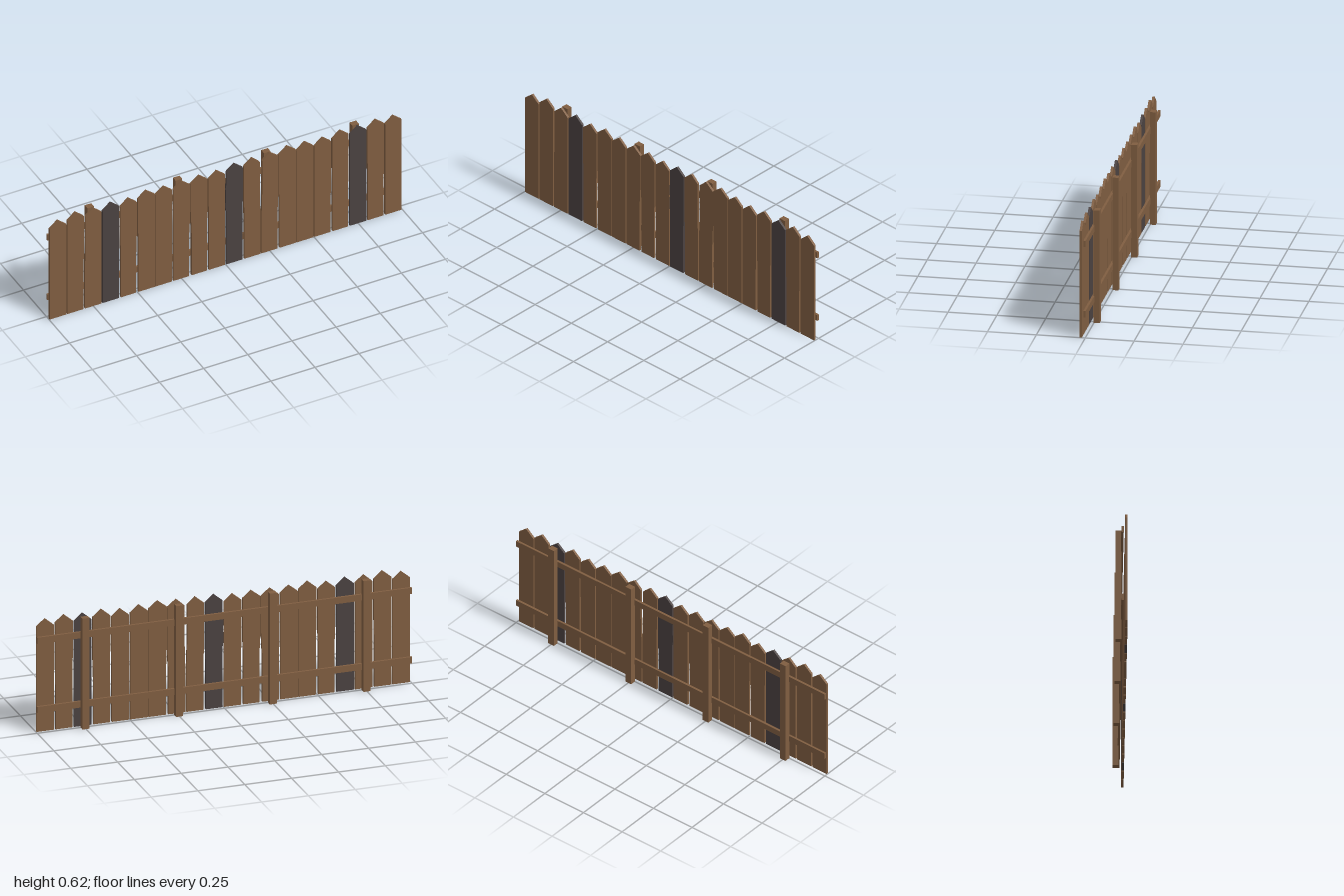
import * as THREE from 'three';

const wood = new THREE.MeshStandardMaterial({ color: 0x805e41 });
wood.name = 'brown wood';
const darkWood = new THREE.MeshStandardMaterial({ color: 0x4b4241 });
darkWood.name = 'dark weathered wood';

const PITCH = 0.1;
const DARK = [3, 10, 17];
// peak height, then how far the left and right edges are worn in near the bottom and the shoulder
const PLANKS = [
  [0.605, 0, 0, 0, 0], [0.622, 0, 0.002, 0, 0], [0.614, 0, 0, 0.002, 0], [0.614, 0, 0.001, 0, 0],
  [0.606, 0.003, 0.004, 0, 0], [0.62, 0.003, -0.002, 0, -0.002], [0.612, -0.002, 0.002, -0.002, 0],
  [0.61, 0, 0.005, 0, -0.002], [0.611, 0.004, 0.004, -0.002, 0], [0.606, 0.002, 0, 0, 0],
  [0.616, 0, 0.003, 0, 0], [0.617, 0.002, 0, 0, 0.004], [0.617, 0, 0.003, 0.004, -0.003],
  [0.622, 0.002, -0.002, -0.003, -0.002], [0.614, -0.002, 0, -0.002, 0], [0.607, 0, 0.002, 0, 0],
  [0.617, 0.002, 0.004, 0, 0], [0.61, 0, 0, 0, 0], [0.615, 0.002, 0.002, 0, 0], [0.606, 0, 0, 0, 0],
];

// A pointed picket with slightly worn sides
function plankGeometry([peak, lowL, lowR, highL, highR], chipped) {
  const h = 0.0465, shoulder = peak - 0.039;
  const points = [
    [-h + lowL, 0], [h - lowR, 0], [h - lowR, 0.24],
    [h - highR, 0.38], [h - highR, shoulder], [0, peak], [-h + highL, shoulder],
  ];
  // splintered edge
  if (chipped) points.push([-h, 0.5], [-h - 0.004, 0.48], [-h - 0.002, 0.42], [-h - 0.005, 0.36], [-h, 0.33]);
  else points.push([-h + highL, 0.4]);
  points.push([-h + lowL, 0.26]);
  const shape = new THREE.Shape(points.map(([x, y]) => new THREE.Vector2(x, y)));
  return new THREE.ExtrudeGeometry(shape, { depth: 0.012, bevelEnabled: false });
}

function addBox(parent, name, size, position) {
  const mesh = new THREE.Mesh(new THREE.BoxGeometry(...size), wood);
  mesh.name = name;
  mesh.position.set(...position);
  parent.add(mesh);
}

export function createModel() {
  const fence = new THREE.Group();
  fence.name = 'picketFence';

  // Front boards
  const boards = new THREE.Group();
  boards.name = 'boards';
  PLANKS.forEach((spec, i) => {
    const board = new THREE.Mesh(plankGeometry(spec, i === 10), DARK.includes(i) ? darkWood : wood);
    board.name = 'board' + (i + 1);
    board.position.set(-0.95 + i * PITCH, 0, 0.018);
    boards.add(board);
  });
  fence.add(boards);

  // Horizontal rails behind the boards
  addBox(fence, 'lowerRail', [2, 0.034, 0.012], [0, 0.126, 0.004]);
  addBox(fence, 'upperRail', [2, 0.034, 0.012], [0, 0.501, 0.004]);

  // Posts at the back
  [-0.75, -0.25, 0.25, 0.75].forEach((x, i) =>
    addBox(fence, 'post' + (i + 1), [0.037, 0.6, 0.03], [x, 0.3, -0.014]));

  return fence;
}
